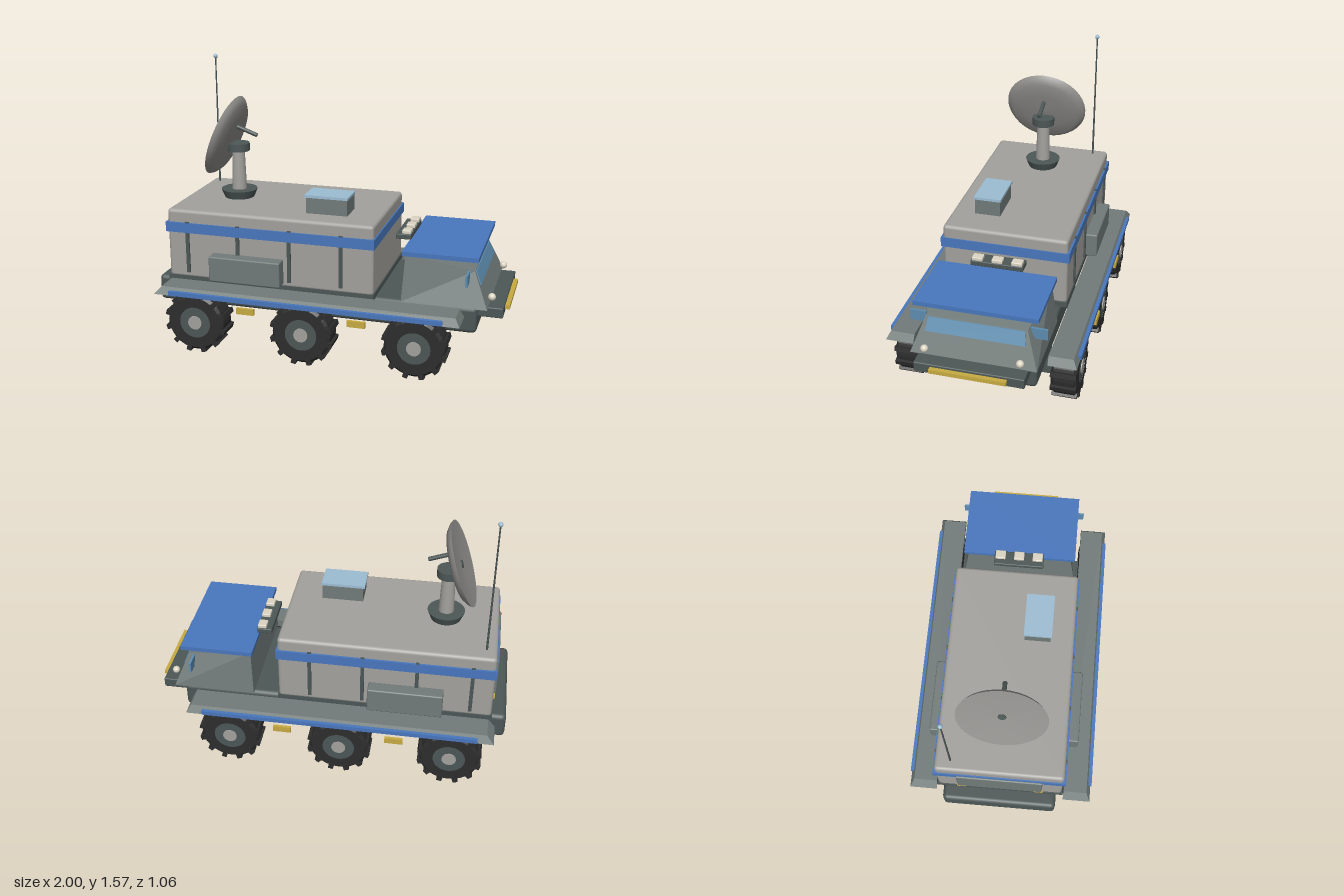
import * as THREE from 'three';
import { RoundedBoxGeometry } from 'three/addons/geometries/RoundedBoxGeometry.js';

function mat(name, color, extra = {}) {
  const m = new THREE.MeshStandardMaterial({ color, ...extra });
  m.name = name;
  return m;
}

// Six-sided solid from a bottom and a top ring: rear right, rear left, front left, front right
function hexa(bottom, top) {
  const p = [...bottom, ...top];
  const quads = [[0, 3, 2, 1], [4, 5, 6, 7], [0, 1, 5, 4], [1, 2, 6, 5], [2, 3, 7, 6], [3, 0, 4, 7]];
  const pos = [];
  for (const [a, b, c, d] of quads) for (const i of [a, c, b, a, d, c]) pos.push(...p[i]);
  const g = new THREE.BufferGeometry();
  g.setAttribute('position', new THREE.Float32BufferAttribute(pos, 3));
  // ring order decides the winding; flip it when the volume comes out negative
  let vol = 0;
  const a = new THREE.Vector3(), b = new THREE.Vector3(), c = new THREE.Vector3();
  for (let i = 0; i < pos.length; i += 9) {
    a.fromArray(pos, i); b.fromArray(pos, i + 3); c.fromArray(pos, i + 6);
    vol += a.dot(b.cross(c));
  }
  if (vol < 0) {
    for (let i = 0; i < pos.length; i += 9) {
      for (let k = 0; k < 3; k++) [pos[i + 3 + k], pos[i + 6 + k]] = [pos[i + 6 + k], pos[i + 3 + k]];
    }
    g.setAttribute('position', new THREE.Float32BufferAttribute(pos, 3));
  }
  g.computeVertexNormals();
  return g;
}

export function createModel() {
  const root = new THREE.Group();
  root.name = 'expeditionRover';

  const M = {
    shell: mat('shellGrey', 0xa2a19d),
    slate: mat('slateGrey', 0x717b79),
    dark: mat('darkSlate', 0x4c5756),
    tyre: mat('tyreBlack', 0x2d2d2d),
    blue: mat('trimBlue', 0x4877bd),
    glass: mat('windowGlass', 0x5d8db0, { side: THREE.DoubleSide }),
    pale: mat('paleBlue', 0x9dbdd3),
    yellow: mat('markerYellow', 0xc8ab42),
    cream: mat('lampCream', 0xdcd5c4),
    dish: mat('dishGrey', 0x92918e, { side: THREE.DoubleSide }),
  };

  function add(name, geo, material, parent = root) {
    const m = new THREE.Mesh(geo, material);
    m.name = name;
    parent.add(m);
    return m;
  }
  // Box from its limits, optionally with rounded edges
  function box(name, material, x0, x1, y0, y1, z0, z1, r = 0) {
    const s = [x1 - x0, y1 - y0, z1 - z0];
    const g = r ? new RoundedBoxGeometry(...s, 2, r) : new THREE.BoxGeometry(...s);
    g.translate((x0 + x1) / 2, (y0 + y1) / 2, (z0 + z1) / 2);
    return add(name, g, material);
  }
  function cyl(name, material, rTop, rBottom, y0, y1, x, z, n = 24) {
    const m = add(name, new THREE.CylinderGeometry(rTop, rBottom, y1 - y0, n), material);
    m.position.set(x, (y0 + y1) / 2, z);
    return m;
  }

  // Chassis and cargo body
  box('chassis', M.dark, -1, 0.84, 0.22, 0.37, -0.325, 0.325, 0.025);
  box('bodySkirt', M.dark, -0.92, 0.285, 0.365, 0.397, -0.36, 0.36);
  box('cargoBody', M.shell, -0.915, 0.28, 0.385, 0.785, -0.356, 0.356, 0.02);
  box('bodyBand', M.blue, -0.922, 0.287, 0.655, 0.712, -0.367, 0.367);

  // Rear door with tail lights
  box('rearDoor', M.slate, -0.932, -0.91, 0.46, 0.69, -0.24, 0.24, 0.008);
  for (const z of [-0.22, 0.22]) box('tailLight', M.yellow, -0.928, -0.91, 0.425, 0.44, z - 0.025, z + 0.025);

  // Wheel geometry, with the axle along z
  const tyreGeo = new THREE.LatheGeometry(
    [[0.09, -0.07], [0.15, -0.07], [0.165, -0.055], [0.165, 0.055], [0.15, 0.07], [0.09, 0.07]]
      .map(([r, y]) => new THREE.Vector2(r, y)), 28).toNonIndexed();
  tyreGeo.computeVertexNormals();
  tyreGeo.rotateX(Math.PI / 2);
  const hubGeo = new THREE.CylinderGeometry(0.092, 0.092, 0.138, 24).rotateX(Math.PI / 2);
  const capGeo = new THREE.CylinderGeometry(0.04, 0.04, 0.15, 16).rotateX(Math.PI / 2);
  const lugGeo = new THREE.BoxGeometry(0.028, 0.03, 0.14);

  function wheel(x, z) {
    const w = new THREE.Group();
    w.name = 'wheel';
    add('tyre', tyreGeo, M.tyre, w);
    add('hub', hubGeo, M.dark, w);
    add('hubCap', capGeo, M.shell, w);
    for (let i = 0; i < 12; i++) {
      const a = (i + 0.5) * Math.PI / 6;
      const lug = add('treadLug', lugGeo, M.tyre, w);
      lug.position.set(Math.sin(a) * 0.164, Math.cos(a) * 0.164, 0);
      lug.rotation.z = -a;
    }
    w.position.set(x, 0.18, z);
    root.add(w);
  }

  // Everything that repeats on both sides
  for (const s of [1, -1]) {
    const side = (name, m, x0, x1, y0, y1, z0, z1, r) =>
      box(name, m, x0, x1, y0, y1, Math.min(s * z0, s * z1), Math.max(s * z0, s * z1), r);

    for (const x of [-0.705, -0.085, 0.54]) {
      wheel(x, s * 0.436);
      side('axleStub', M.dark, x - 0.075, x + 0.075, 0.155, 0.222, 0.295, 0.37);
    }
    add('fender', hexa(
      [[-0.94, 0.333, s * 0.367], [-0.94, 0.333, s * 0.522], [0.78, 0.333, s * 0.522], [0.78, 0.333, s * 0.367]],
      [[-0.9, 0.377, s * 0.367], [-0.9, 0.377, s * 0.5], [0.755, 0.377, s * 0.5], [0.755, 0.377, s * 0.367]]), M.slate);
    side('fenderStripe', M.blue, -0.85, 0.69, 0.335, 0.36, 0.507, 0.528);
    for (const x of [-0.395, 0.23]) side('markerLight', M.yellow, x - 0.05, x + 0.05, 0.273, 0.308, 0.515, 0.531);
    for (const x of [-0.795, -0.495, -0.195, 0.1]) side('bodyRib', M.dark, x - 0.01, x + 0.01, 0.42, 0.718, 0.35, 0.366);
    side('sideLocker', M.slate, -0.645, -0.23, 0.405, 0.55, 0.35, 0.428, 0.008);

    // Cab side details
    side('mirror', M.glass, 0.778, 0.79, 0.5, 0.562, 0.28, 0.37);
    const lamp = add('headlight', new THREE.SphereGeometry(0.021, 16, 12), M.cream);
    lamp.position.set(0.908, 0.417, s * 0.255);
  }

  // Cab: tapered block under a flat roof
  add('cab', hexa(
    [[0.43, 0.37, -0.34], [0.43, 0.37, 0.34], [0.895, 0.37, 0.34], [0.895, 0.37, -0.34]],
    [[0.445, 0.635, -0.305], [0.445, 0.635, 0.305], [0.815, 0.56, 0.272], [0.815, 0.56, -0.272]]), M.slate);
  add('windshield', hexa(
    [[0.84, 0.485, -0.27], [0.84, 0.485, 0.27], [0.851, 0.485, 0.27], [0.851, 0.485, -0.27]],
    [[0.81, 0.556, -0.257], [0.81, 0.556, 0.257], [0.821, 0.556, 0.257], [0.821, 0.556, -0.257]]), M.glass);
  box('cabRoof', M.blue, 0.43, 0.84, 0.628, 0.653, -0.333, 0.333);

  // Bumper and front marker strip
  box('bumper', M.dark, 0.835, 0.975, 0.315, 0.372, -0.295, 0.295, 0.006);
  box('bumperStrip', M.yellow, 0.97, 1, 0.335, 0.358, -0.205, 0.205);

  // Roof light bar
  box('lightBar', M.dark, 0.355, 0.44, 0.657, 0.687, -0.147, 0.147, 0.005);
  for (const z of [-0.11, 0, 0.11]) box('roofLamp', M.cream, 0.387, 0.437, 0.685, 0.707, z - 0.03, z + 0.03, 0.005);

  // Roof hatch
  box('hatchBox', M.slate, -0.138, 0.098, 0.78, 0.877, 0.075, 0.222);
  box('hatchLid', M.pale, -0.147, 0.102, 0.875, 0.89, 0.07, 0.227);

  // Dish on its mast
  const mx = -0.617;
  cyl('dishBase', M.dark, 0.105, 0.085, 0.783, 0.833, mx, 0);
  cyl('dishMast', M.shell, 0.036, 0.043, 0.83, 1.065, mx, 0);
  cyl('dishCollar', M.dark, 0.066, 0.066, 1.06, 1.105, mx, 0);

  const dish = new THREE.Group();
  dish.name = 'dish';
  const lathe = (pts) => new THREE.LatheGeometry(pts.map(([r, y]) => new THREE.Vector2(r, y)), 36);
  add('dishDome', lathe([[0.2425, 0], [0.23, 0.018], [0.2, 0.04], [0.12, 0.05], [0, 0.055]]), M.dish, dish);
  add('dishBack', lathe([[0, 0.015], [0.12, 0.011], [0.2425, 0]]), M.dish, dish);
  const hub = add('dishHub', new THREE.CylinderGeometry(0.022, 0.022, 0.008, 16), M.dark, dish);
  hub.position.y = 0.013;
  const feed = add('feedRod', new THREE.CylinderGeometry(0.012, 0.012, 0.14, 12), M.dark, dish);
  feed.position.set(0, 0.108, 0);
  // the dish axis points forward and a little down
  dish.position.set(-0.694, 1.146, 0);
  dish.rotation.z = -Math.PI / 2 - 0.354;
  feed.position.x = -0.075;

  // Whip antenna
  cyl('antenna', M.dark, 0.004, 0.006, 0.78, 1.555, -0.855, -0.27, 8);
  const tip = add('antennaTip', new THREE.SphereGeometry(0.013, 12, 10), M.pale);
  tip.position.set(-0.855, 1.557, -0.27);

  root.add(dish);
  return root;
}
